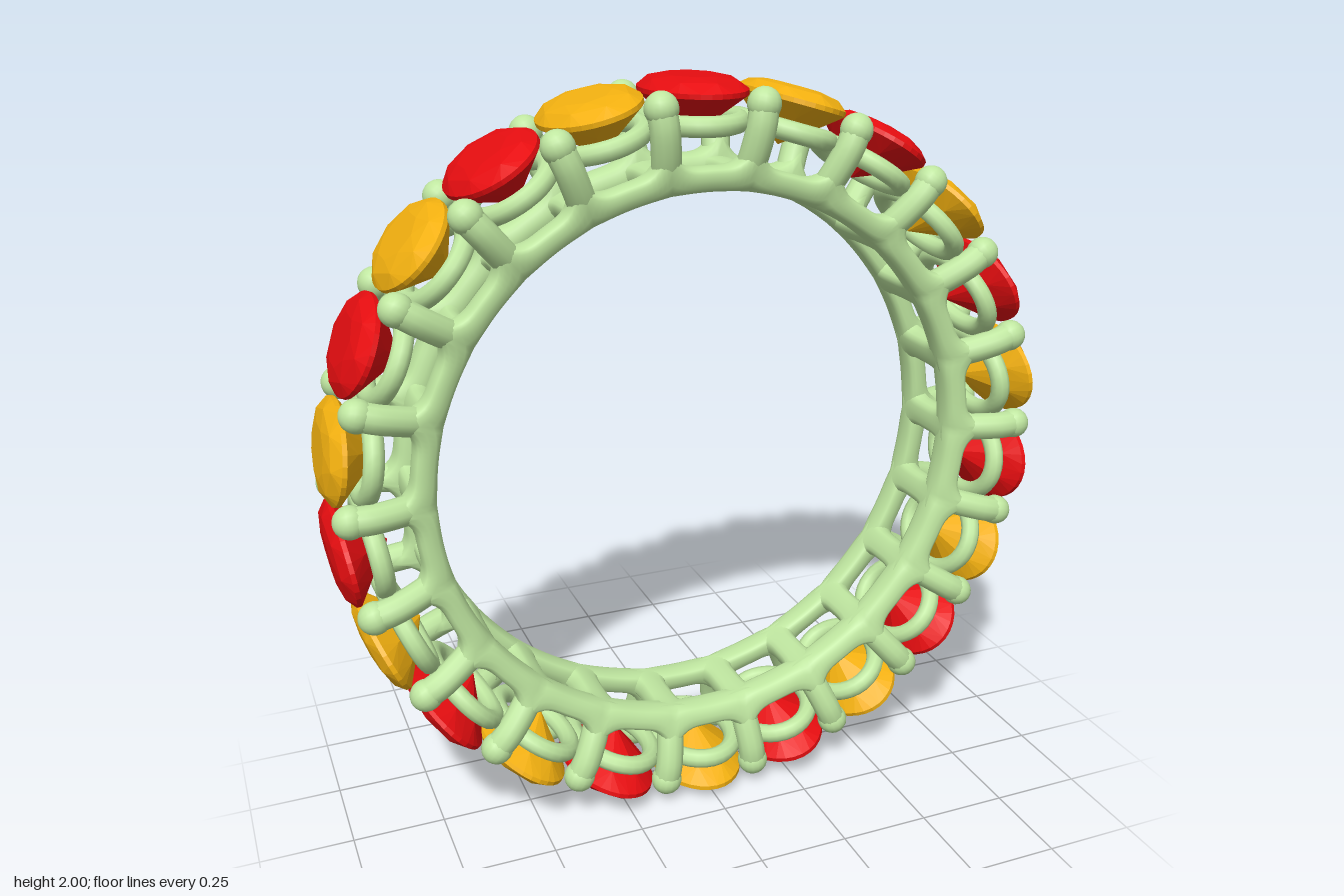
import * as THREE from 'three';
import { ConvexGeometry } from 'three/addons/geometries/ConvexGeometry.js';

const COUNT = 22;
const STEP = (Math.PI * 2) / COUNT;
const BORE = 0.725;

const metal = new THREE.MeshStandardMaterial({ color: 0xbfe6a0 });
const red = new THREE.MeshStandardMaterial({ color: 0xe60d10, flatShading: true });
const yellow = new THREE.MeshStandardMaterial({ color: 0xf2b010, flatShading: true });

// Skin of closed cross-sections; point(a, b) with a in 0..1 along, b the angle around
function sweep(along, around, closed, point) {
  const pos = [], index = [];
  const rows = closed ? along : along + 1;
  for (let i = 0; i < rows; i++)
    for (let j = 0; j < around; j++) pos.push(...point(i / along, (j / around) * Math.PI * 2));
  for (let i = 0; i < along; i++)
    for (let j = 0; j < around; j++) {
      const k = (j + 1) % around, n = (i + 1) % rows;
      const a = i * around + j, b = n * around + j, c = n * around + k, d = i * around + k;
      index.push(a, b, c, a, c, d);
    }
  const g = new THREE.BufferGeometry();
  g.setAttribute('position', new THREE.Float32BufferAttribute(pos, 3));
  g.setIndex(index);
  g.computeVertexNormals();
  return g;
}

// Rounded-square section: softened sine and cosine
const soft = (v) => Math.sign(v) * Math.pow(Math.abs(v), 0.7);

// Side rail: scalloped upwards towards every prong
function railGeometry(side) {
  return sweep(COUNT * 16, 16, true, (a, b) => {
    const turn = a * Math.PI * 2;
    const t = Math.abs(((a * COUNT + 0.5) % 1) - 0.5) * 2; // 0 under a stone, 1 at a prong
    const outer = 0.79 + 0.075 * Math.pow(t, 4);
    const r = (outer + BORE) / 2 + soft(Math.sin(b)) * (outer - BORE) / 2;
    const lean = (r - BORE) * 0.2;
    const z = side * (0.097 + lean) + soft(Math.cos(b)) * 0.043;
    return [r * Math.sin(turn), r * Math.cos(turn), z];
  });
}

// Bridge across the bore, flaring where it meets the rails
function bridgeGeometry() {
  return sweep(16, 16, false, (a, b) => {
    const t = a * 2 - 1;
    const half = 0.042 + 0.05 * t * t * t * t;
    const x = -soft(Math.cos(b)) * half;
    const r = 0.757 + soft(Math.sin(b)) * 0.032;
    const turn = x / 0.757;
    return [r * Math.sin(turn), r * Math.cos(turn), t * 0.11];
  });
}

// Faceted oval stone, local y pointing outwards
function stoneGeometry() {
  const pts = [];
  const ring = (n, scale, y, shift = 0) => {
    for (let i = 0; i < n; i++) {
      const a = ((i + shift) / n) * Math.PI * 2;
      pts.push(new THREE.Vector3(Math.cos(a) * 0.13 * scale, y, Math.sin(a) * 0.195 * scale));
    }
  };
  ring(8, 0.52, 1.0, 0.5);
  ring(8, 0.82, 0.991);
  ring(32, 1, 0.969);
  ring(32, 1, 0.957);
  ring(8, 0.72, 0.922, 0.5);
  pts.push(new THREE.Vector3(0, 0.848, 0));
  return new ConvexGeometry(pts);
}

// Oval seat wire below each stone
class OvalCurve extends THREE.Curve {
  getPoint(t, target = new THREE.Vector3()) {
    const a = t * Math.PI * 2;
    return target.set(Math.cos(a) * 0.112, 0.889, Math.sin(a) * 0.153);
  }
}

export function createModel() {
  const model = new THREE.Group();
  const ring = new THREE.Group();
  ring.name = 'ring';
  ring.position.y = 1;
  model.add(ring);

  const add = (parent, name, geometry, material) => {
    const m = new THREE.Mesh(geometry, material);
    m.name = name;
    parent.add(m);
    return m;
  };

  add(ring, 'frontRail', railGeometry(1), metal);
  add(ring, 'backRail', railGeometry(-1), metal);

  const stone = stoneGeometry();
  const seat = new THREE.TubeGeometry(new OvalCurve(), 40, 0.026, 10, true);
  const bridge = bridgeGeometry();
  const tip = new THREE.SphereGeometry(0.043, 16, 12);
  const prongs = [1, -1].map((s) => new THREE.TubeGeometry(
    new THREE.CatmullRomCurve3([
      new THREE.Vector3(0, 0.765, s * 0.1),
      new THREE.Vector3(0, 0.84, s * 0.13),
      new THREE.Vector3(0, 0.9, s * 0.143),
      new THREE.Vector3(0, 0.945, s * 0.139),
    ]), 10, 0.038, 12));

  for (let i = 0; i < COUNT; i++) {
    // Stone with its seat
    const setting = new THREE.Group();
    setting.name = 'setting';
    setting.rotation.z = -i * STEP;
    ring.add(setting);
    add(setting, 'stone', stone, i % 2 ? yellow : red);
    add(setting, 'seat', seat, metal);

    // Bridge and shared prongs between two stones
    const claw = new THREE.Group();
    claw.name = 'claw';
    claw.rotation.z = -(i + 0.5) * STEP;
    ring.add(claw);
    add(claw, 'bridge', bridge, metal);
    [1, -1].forEach((s, k) => {
      add(claw, 'prong', prongs[k], metal);
      add(claw, 'prongTip', tip, metal).position.set(0, 0.945, s * 0.139);
    });
  }
  return model;
}
